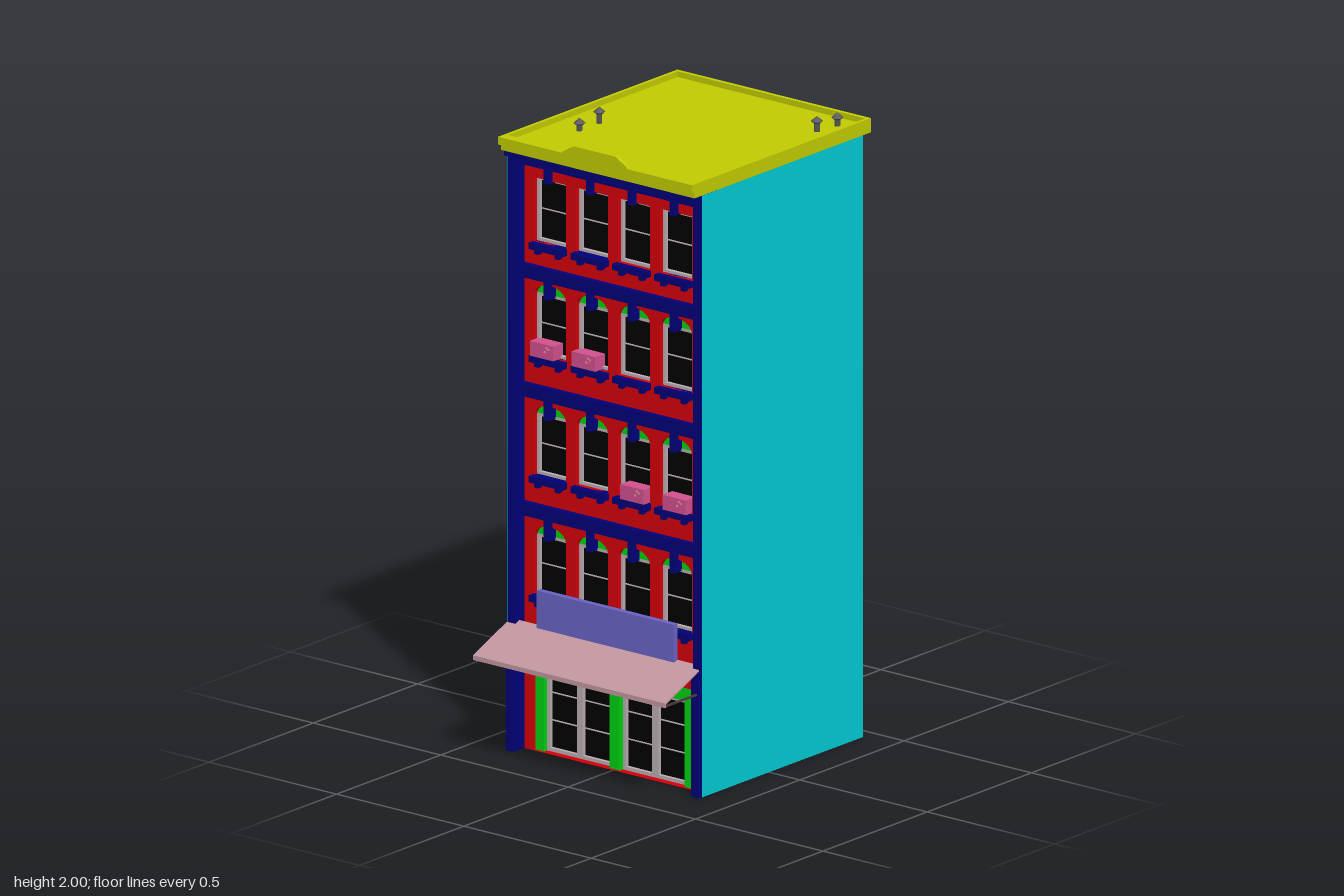
import * as THREE from 'three';

const mat = (color, side = THREE.FrontSide) =>
  new THREE.MeshStandardMaterial({ color, side, flatShading: true });

export function createModel() {
  const root = new THREE.Group();
  const M = {
    red: mat(0xd40008), blue: mat(0x000078), green: mat(0x00d010),
    teal: mat(0x00c8d0, THREE.DoubleSide), roof: mat(0xc0ca00),
    glass: mat(0x000000, THREE.DoubleSide), frame: mat(0xb8acb0),
    awning: mat(0xc0959d, THREE.DoubleSide), rod: mat(0x4a3a3e),
    sign: mat(0x6862c4), planter: mat(0xd0508c), flower: mat(0xe08898), vent: mat(0x555555),
  };

  const add = (parent, name, geo, m) => {
    const mesh = new THREE.Mesh(geo, m);
    mesh.name = name;
    parent.add(mesh);
    return mesh;
  };
  // box given by its limits on each axis
  const box = (parent, name, m, x0, x1, y0, y1, z0, z1) => {
    const mesh = add(parent, name, new THREE.BoxGeometry(x1 - x0, y1 - y0, z1 - z0), m);
    mesh.position.set((x0 + x1) / 2, (y0 + y1) / 2, (z0 + z1) / 2);
    return mesh;
  };
  const group = (name) => {
    const g = new THREE.Group();
    g.name = name;
    root.add(g);
    return g;
  };
  const rect = (T, x0, x1, y0, y1) => new T().moveTo(x0, y0).lineTo(x1, y0).lineTo(x1, y1).lineTo(x0, y1).closePath();
  const extrude = (shape, depth) =>
    new THREE.ExtrudeGeometry(shape, { depth, bevelEnabled: false, curveSegments: 5 });

  const cols = [-0.247, -0.082, 0.082, 0.247], hw = 0.063;
  // each storey: window bottom, window top, arch height, underside of the band above
  const storeys = [
    { y0: 0.5, y1: 0.69, arch: 0.04, band: 0.75, boxes: [] },
    { y0: 0.88, y1: 1.075, arch: 0.04, band: 1.13, boxes: [0.045, 0.21] },
    { y0: 1.265, y1: 1.46, arch: 0.04, band: 1.51, boxes: [-0.31, -0.146] },
    { y0: 1.625, y1: 1.83, arch: 0, band: 1.87, boxes: [] },
  ];

  // side and back walls, open at the bottom
  const shell = group('shell');
  for (const [x, front] of [[-0.381, 0.328], [0.38, 0.322]]) {
    const wall = add(shell, 'sideWall', new THREE.PlaneGeometry(front + 0.45, 1.92), M.teal);
    wall.rotation.y = Math.sign(x) * Math.PI / 2;
    wall.position.set(x, 0.96, (front - 0.45) / 2);
  }
  add(shell, 'backWall', new THREE.PlaneGeometry(0.76, 1.92), M.teal).position.set(0, 0.96, -0.45);

  // brick front, set back between the pilasters, with window and shop openings
  const front = rect(THREE.Shape, -0.36, 0.36, 0, 1.92);
  front.holes.push(rect(THREE.Path, -0.31, 0.307, 0.001, 0.32));
  for (const f of storeys) for (const c of cols) {
    const hole = new THREE.Path().moveTo(c - hw, f.y0).lineTo(c + hw, f.y0).lineTo(c + hw, f.y1);
    if (f.arch) hole.absellipse(c, f.y1 - 0.005, hw, f.arch, 0, Math.PI, false, 0);
    else hole.lineTo(c - hw, f.y1);
    hole.closePath();
    front.holes.push(hole);
  }
  const facade = group('facade');
  add(facade, 'brickFront', extrude(front, 0.035), M.red).position.z = 0.25;

  // corner pilasters, storey bands and cornice
  for (const s of [-1, 1]) {
    const [a, b] = s < 0 ? [-0.38, -0.348] : [0.348, 0.379];
    box(facade, 'pilaster', M.blue, a, b, 0, 1.92, 0.245, 0.327);
    box(facade, 'pilasterBase', M.blue, a, b, 0, 0.4, 0.3, 0.337);
  }
  for (const f of storeys) box(facade, 'band', M.blue, -0.35, 0.35, f.band, f.band + 0.042, 0.245, 0.306);
  box(facade, 'cornice', M.blue, -0.378, 0.378, 1.9, 1.92, 0.26, 0.346);

  // frame with a glass pane, bars at given fractions
  const glazed = (g, x0, x1, y0, y1, z, t, rails) => {
    box(g, 'pane', M.glass, x0, x1, y0, y1, z - 0.006, z);
    for (const x of [x0, x1 - t]) box(g, 'stile', M.frame, x, x + t, y0, y1, z - 0.011, z + 0.012);
    for (const y of [y0, y1 - t]) box(g, 'rail', M.frame, x0, x1, y, y + t, z - 0.011, z + 0.012);
    for (const r of rails) {
      const y = y0 + (y1 - y0) * r;
      box(g, 'bar', M.frame, x0, x1, y - 0.0015, y + 0.0015, z, z + 0.005);
    }
  };

  for (const f of storeys) {
    for (const c of cols) {
      const g = group('window');
      glazed(g, c - hw, c + hw, f.y0, f.y1, 0.258, 0.009, [0.5]);
      if (f.arch) {
        const arch = new THREE.Shape().moveTo(c + hw, f.y1 - 0.005);
        arch.absellipse(c, f.y1 - 0.005, hw, f.arch, 0, Math.PI, false, 0);
        add(g, 'archPanel', extrude(arch, 0.02), M.green).position.z = 0.249;
      }
      // keystone up to the band, sill on two feet
      box(g, 'keystone', M.blue, c - 0.01, c + 0.01, f.y1 - 0.006, f.band, 0.255, 0.303);
      box(g, 'sill', M.blue, c - hw - 0.004, c + hw + 0.004, f.y0 - 0.02, f.y0, 0.245, 0.307);
      for (const s of [-1, 1])
        box(g, 'sillFoot', M.blue, c + s * 0.04 - 0.008, c + s * 0.04 + 0.008, f.y0 - 0.034, f.y0 - 0.02, 0.26, 0.302);
    }
    for (const x of f.boxes) {
      const g = group('windowBox');
      box(g, 'planter', M.planter, x, x + 0.092, f.y0, f.y0 + 0.047, 0.255, 0.305);
      for (const [dx, dy] of [[0.055, 0.02], [0.07, 0.03], [0.062, 0.034]])
        box(g, 'ornament', M.flower, x + dx, x + dx + 0.007, f.y0 + dy, f.y0 + dy + 0.006, 0.304, 0.307);
    }
  }

  // shop front: green surround and two pairs of glazed doors
  const shop = group('shopFront');
  const surround = rect(THREE.Shape, -0.31, 0.307, 0, 0.32);
  const bays = [[-0.277, -0.02], [0.02, 0.274]];
  for (const [a, b] of bays) surround.holes.push(rect(THREE.Path, a, b, 0.0005, 0.275));
  add(shop, 'surround', extrude(surround, 0.04), M.green).position.z = 0.237;
  for (const [a, b] of bays) {
    const m = (a + b) / 2;
    for (const [x0, x1] of [[a, m], [m, b]]) glazed(shop, x0, x1, 0, 0.275, 0.25, 0.012, [0.36, 0.68]);
  }

  // sign board
  box(root, 'signBoard', M.sign, -0.265, 0.272, 0.41, 0.53, 0.307, 0.327);

  // awning: sloping sheet with a short valance, held by side rods
  const awning = group('awning');
  const profile = new THREE.Shape().moveTo(0.308, 0.414).lineTo(0.49, 0.34).lineTo(0.49, 0.325)
    .lineTo(0.486, 0.325).lineTo(0.486, 0.336).lineTo(0.308, 0.409).closePath();
  const sheet = add(awning, 'awningSheet', extrude(profile, 0.755), M.awning);
  sheet.rotation.y = -Math.PI / 2;
  sheet.position.x = 0.373;
  for (const x of [-0.381, 0.367]) box(awning, 'awningRod', M.rod, x, x + 0.005, 0.326, 0.332, 0.308, 0.488);

  // roof slab with raised rim and a front crest
  const roof = group('roof');
  box(roof, 'roofSlab', M.roof, -0.38, 0.379, 1.92, 1.947, -0.49, 0.357);
  const rim = rect(THREE.Shape, -0.381, 0.379, -0.37, 0.49);
  rim.holes.push(rect(THREE.Path, -0.369, 0.367, -0.338, 0.476));
  const rimMesh = add(roof, 'rim', extrude(rim, 0.025), M.roof);
  rimMesh.rotation.x = -Math.PI / 2;
  rimMesh.position.y = 1.94;
  const crest = new THREE.Shape().moveTo(-0.135, 1.96).lineTo(0.13, 1.96).lineTo(0.12, 1.972)
    .lineTo(0.08, 1.995).lineTo(-0.085, 1.995).lineTo(-0.125, 1.972).closePath();
  add(roof, 'crest', extrude(crest, 0.014), M.roof).position.z = 0.356;

  // roof vents: pipe under a conical cap
  for (const [x, z, top] of [[-0.264, 0.028, 2], [-0.264, 0.123, 1.988], [0.299, -0.328, 1.996], [0.312, -0.41, 1.99]]) {
    const v = group('roofVent');
    v.position.set(x, 0, z);
    const h = top - 0.014 - 1.945;
    add(v, 'pipe', new THREE.CylinderGeometry(0.009, 0.009, h, 8), M.vent).position.y = 1.945 + h / 2;
    add(v, 'cap', new THREE.ConeGeometry(0.019, 0.016, 8), M.vent).position.y = top - 0.008;
    add(v, 'collar', new THREE.CylinderGeometry(0.019, 0.012, 0.006, 8), M.vent).position.y = top - 0.019;
  }
  return root;
}
